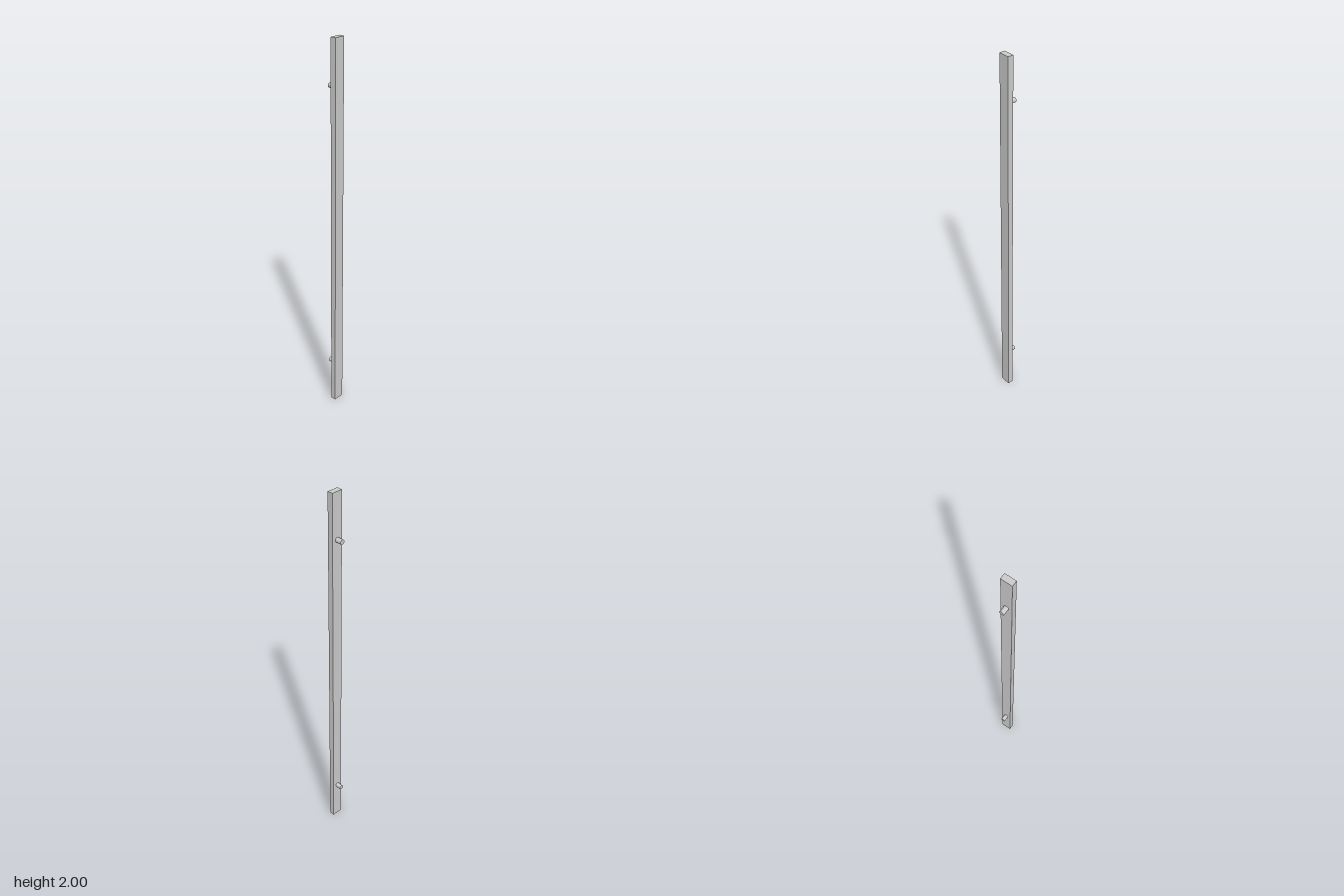
import * as THREE from 'three';

export function createModel() {
  const model = new THREE.Group();
  model.name = 'pullHandle';
  const material = new THREE.MeshStandardMaterial({ color: 0xcccccc });

  // Long flat grip bar
  const width = 0.058, depth = 0.029, front = 0.031, pegLength = 0.033;
  const bar = new THREE.Mesh(new THREE.BoxGeometry(width, 2, depth), material);
  bar.name = 'gripBar';
  bar.position.set(0, 1, front - depth / 2);
  model.add(bar);

  // Round mounting pegs on the back of the bar
  const pegGeometry = new THREE.CylinderGeometry(0.0122, 0.0122, pegLength, 32).rotateX(Math.PI / 2);
  for (const [name, y] of [['lowerPeg', 0.23], ['upperPeg', 1.77]]) {
    const peg = new THREE.Mesh(pegGeometry, material);
    peg.name = name;
    peg.position.set(0, y, front - depth - pegLength / 2);
    model.add(peg);
  }
  return model;
}
